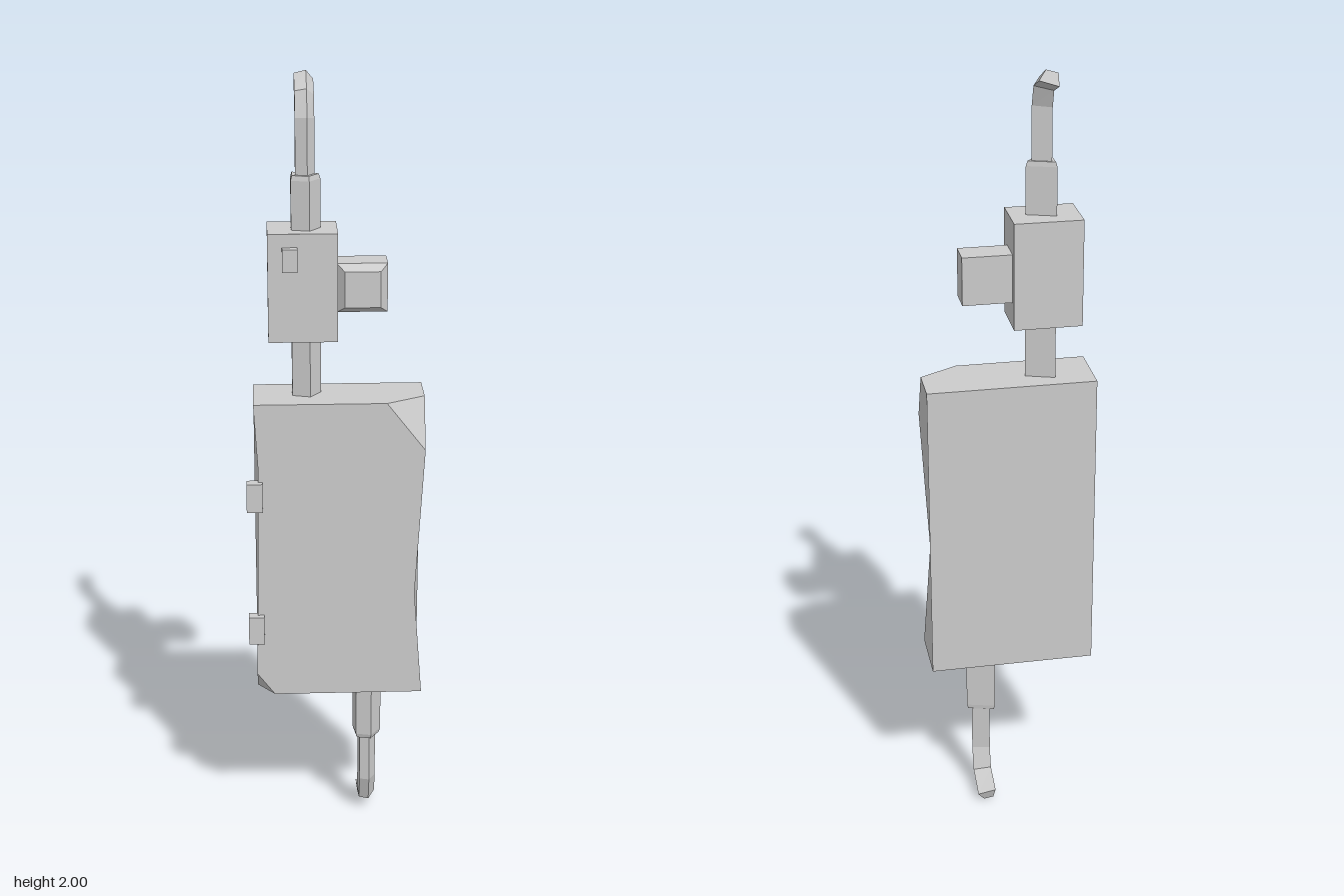
import * as THREE from 'three';

const material = new THREE.MeshStandardMaterial({ color: 0xcccccc, flatShading: true });

function addMesh(parent, name, geometry) {
  const mesh = new THREE.Mesh(geometry, material);
  mesh.name = name;
  parent.add(mesh);
  return mesh;
}

// Flat-faced solid from polygons, each fanned from its first corner
function solid(faces) {
  const pos = [];
  for (const f of faces)
    for (let i = 1; i < f.length - 1; i++) pos.push(...f[0], ...f[i], ...f[i + 1]);
  const g = new THREE.BufferGeometry();
  g.setAttribute('position', new THREE.Float32BufferAttribute(pos, 3));
  g.computeVertexNormals();
  return g;
}

// Joins a row of equal cross-sections and caps both ends
function loft(rings) {
  const faces = [[...rings[0]].reverse(), rings[rings.length - 1]];
  for (let r = 0; r < rings.length - 1; r++) {
    const a = rings[r], b = rings[r + 1], n = a.length;
    for (let i = 0; i < n; i++) {
      const j = (i + 1) % n;
      faces.push([a[i], a[j], b[j], b[i]]);
    }
  }
  return solid(faces);
}

// Upright bar: levels are [y, scale of the profile]
const bar = (profile, cx, levels) =>
  loft(levels.map(([y, s]) => profile.map(([x, z]) => [cx + x * s, y, z * s])));

// Bent rod in the y-z plane: path points are [y, z], bottom to top
function bentRod(profile, cx, scale, path) {
  const rings = path.map(([y, z], i) => {
    const t = new THREE.Vector2();
    for (const k of [i - 1, i]) {
      if (k < 0 || k + 1 >= path.length) continue;
      const d = new THREE.Vector2(path[k + 1][0] - path[k][0], path[k + 1][1] - path[k][1]);
      t.add(d.normalize());
    }
    t.normalize();
    return profile.map(([px, pz]) => [cx + px * scale, y - t.y * pz * scale, z + t.x * pz * scale]);
  });
  return loft(rings);
}

// Box given by its limits
function box(parent, name, [x0, x1], [y0, y1], [z0, z1]) {
  const m = addMesh(parent, name, new THREE.BoxGeometry(x1 - x0, y1 - y0, z1 - z0));
  m.position.set((x0 + x1) / 2, (y0 + y1) / 2, (z0 + z1) / 2);
}

// Slab with two cut corners and slightly hollowed side edges
function bodyGeometry() {
  const L = -0.205, R = 0.222, B = 0.415, T = 1.215, F = 0.09, K = -0.07, cut = 0.035;
  const backBL = [L, B, K], backBR = [R, B, K], backTL = [L, T, K], backTR = [R, T, K];
  const frontBR = [R, B, F], rightDent = [0.2, 0.7, F], frontTL = [L, T, F], leftDent = [-0.195, 1.04, F];
  const trSide = [R, 1.09, F], trTop = [0.125, T, F], trBack = [R, T, cut];
  const blSide = [L, 0.475, F], blBottom = [-0.16, B, F], blBack = [L, B, cut];
  return solid([
    [rightDent, trSide, trTop, frontTL, leftDent, blSide, blBottom, frontBR],
    [backBR, backBL, backTL, backTR],
    [leftDent, frontTL, backTL, backBL, blBack, blSide],
    [rightDent, frontBR, backBR, backTR, trBack, trSide],
    [frontTL, trTop, trBack, backTR, backTL],
    [backBL, backBR, frontBR, blBottom, blBack],
    [trSide, trBack, trTop],
    [blSide, blBack, blBottom],
  ]);
}

export function createModel() {
  const group = new THREE.Group();
  addMesh(group, 'body', bodyGeometry());

  // Clips on the front edge of the body
  for (const y of [0.606, 0.973])
    box(group, 'sideClip', [-0.225, -0.185], [y - 0.038, y + 0.038], [0.077, 0.105]);

  // Upper sleeve, head and hook
  const upper = [[-0.032, -0.029], [-0.032, 0.02], [0.0125, 0.033], [0.04, -0.005]];
  addMesh(group, 'upperSleeve', bar(upper, -0.075, [[1.2, 1], [1.755, 1], [1.767, 0.9]]));
  addMesh(group, 'upperHook',
    bentRod(upper, -0.075, 0.65, [[1.75, 0], [1.9, 0], [1.953, -0.02], [1.981, -0.084]]));
  box(group, 'head', [-0.165, 0.005], [1.365, 1.635], [-0.07, 0.06]);
  box(group, 'headButton', [-0.13, -0.093], [1.545, 1.602], [0.05, 0.08]);

  // Side knob with a bevelled front
  const rect = (x0, x1, y0, y1, z) => [[x0, y0, z], [x1, y0, z], [x1, y1, z], [x0, y1, z]];
  addMesh(group, 'sideKnob', loft([
    rect(0.004, 0.128, 1.43, 1.552, -0.05),
    rect(0.004, 0.128, 1.43, 1.552, 0.022),
    rect(0.022, 0.11, 1.446, 1.536, 0.043),
  ]));

  // Lower sleeve and hook
  const lower = [[-0.037, -0.024], [-0.03, 0.026], [0.01, 0.035], [0.037, -0.004]];
  addMesh(group, 'lowerSleeve', bar(lower, 0.085, [[0.243, 0.9], [0.255, 1], [0.43, 1]]));
  addMesh(group, 'lowerHook',
    bentRod(lower, 0.085, 0.63, [[0.022, -0.098], [0.05, -0.02], [0.113, 0], [0.26, 0]]));

  return group;
}
